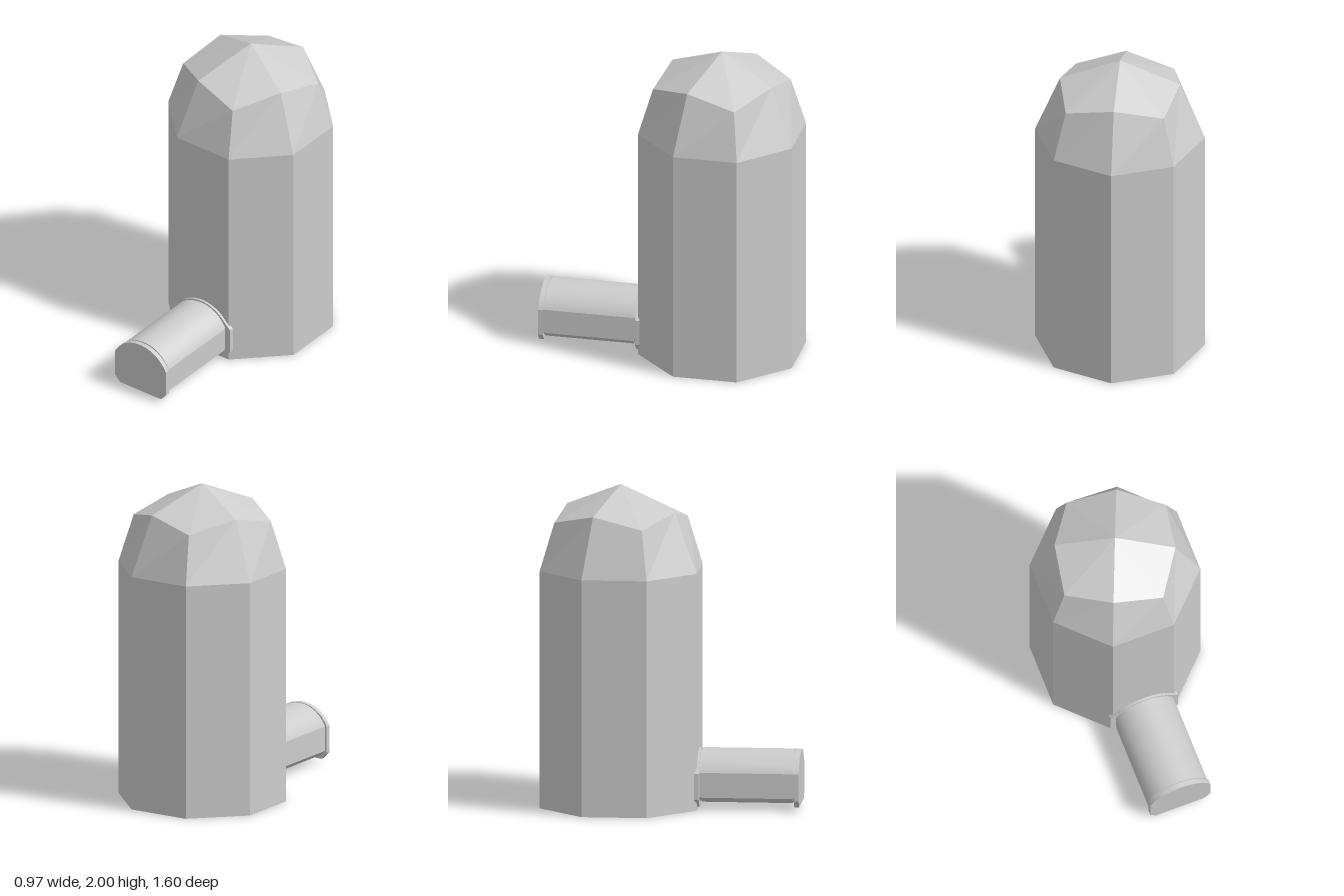
import * as THREE from 'three';
import { toCreasedNormals } from 'three/addons/utils/BufferGeometryUtils.js';

const grey = new THREE.MeshStandardMaterial({ color: 0xcccccc });
grey.name = 'plain grey';

const TOWER_Z = -0.315;

// Flat-faced geometry from a list of quads and triangles
function facets(faces) {
  const pos = [];
  for (const f of faces) {
    for (let i = 1; i < f.length - 1; i++) {
      for (const p of [f[0], f[i], f[i + 1]]) pos.push(p.x, p.y, p.z);
    }
  }
  const g = new THREE.BufferGeometry();
  g.setAttribute('position', new THREE.Float32BufferAttribute(pos, 3));
  g.computeVertexNormals();
  return g;
}

// Eight points around the tower axis; radius and height alternate
function ring(radii, heights) {
  return Array.from({ length: 8 }, (_, i) => {
    const a = (i - 0.5) * Math.PI / 4;
    const r = radii[i % 2];
    return new THREE.Vector3(Math.sin(a) * r, heights[i % 2], Math.cos(a) * r);
  });
}

// Rounded-top tunnel section: flat floor, chamfered lower corners, arched roof
function section(half, floor, chamferX, chamferY, shoulder, top, arch = half) {
  const s = new THREE.Shape();
  const rise = top - shoulder;
  const r = (arch * arch + rise * rise) / (2 * rise);
  const cy = top - r;
  const a = Math.atan2(shoulder - cy, arch);
  s.moveTo(-chamferX, floor);
  s.lineTo(chamferX, floor);
  s.lineTo(half, chamferY);
  if (arch < half) s.lineTo(half, shoulder - (half - arch));
  s.lineTo(arch, shoulder);
  s.absarc(0, cy, r, a, Math.PI - a, false);
  if (arch < half) s.lineTo(-half, shoulder - (half - arch));
  s.lineTo(-half, chamferY);
  s.closePath();
  return s;
}

export function createModel() {
  const model = new THREE.Group();
  model.name = 'towerWithTunnel';

  function add(name, geometry, parent) {
    const m = new THREE.Mesh(geometry, grey);
    m.name = name;
    parent.add(m);
    return m;
  }

  // Octagonal tower with a faceted dome
  const tower = new THREE.Group();
  tower.name = 'tower';
  tower.position.z = TOWER_Z;
  model.add(tower);

  const base = ring([0.525, 0.525], [0, 0]);
  const eave = ring([0.525, 0.525], [1.48, 1.48]);
  const crown = ring([0.372, 0.43], [1.85, 1.78]);
  const apex = new THREE.Vector3(0, 2, 0);
  const walls = [[...base].reverse()];
  const dome = [];
  for (let i = 0; i < 8; i++) {
    const j = (i + 1) % 8;
    walls.push([base[i], base[j], eave[j], eave[i]]);
    dome.push([eave[i], eave[j], crown[j], crown[i]]);
    if (i % 2 === 0) dome.push([apex, crown[i], crown[j], crown[(i + 2) % 8]]);
  }
  add('towerWalls', facets(walls), tower);
  add('towerDome', facets(dome), tower);

  // Entrance tunnel running forward from the tower
  const tunnel = new THREE.Group();
  tunnel.name = 'tunnel';
  model.add(tunnel);

  function slice(name, shape, z0, z1) {
    const g = new THREE.ExtrudeGeometry(shape, {
      depth: z1 - z0, bevelEnabled: false, curveSegments: 16,
    });
    g.translate(0, 0, z0);
    add(name, toCreasedNormals(g, 0.3), tunnel);
  }
  slice('wallFlange', section(0.222, 0.02, 0.17, 0.07, 0.285, 0.36, 0.17), 0.155, 0.185);
  slice('innerCollar', section(0.185, 0.055, 0.155, 0.085, 0.235, 0.35), 0.185, 0.2);
  slice('tunnelBody', section(0.19, 0.05, 0.16, 0.08, 0.235, 0.36), 0.2, 0.762);
  slice('outerCollar', section(0.185, 0.055, 0.155, 0.085, 0.235, 0.35), 0.762, 0.77);
  slice('endCap', section(0.198, 0.024, 0.16, 0.068, 0.235, 0.36), 0.77, 0.8);

  return model;
}
